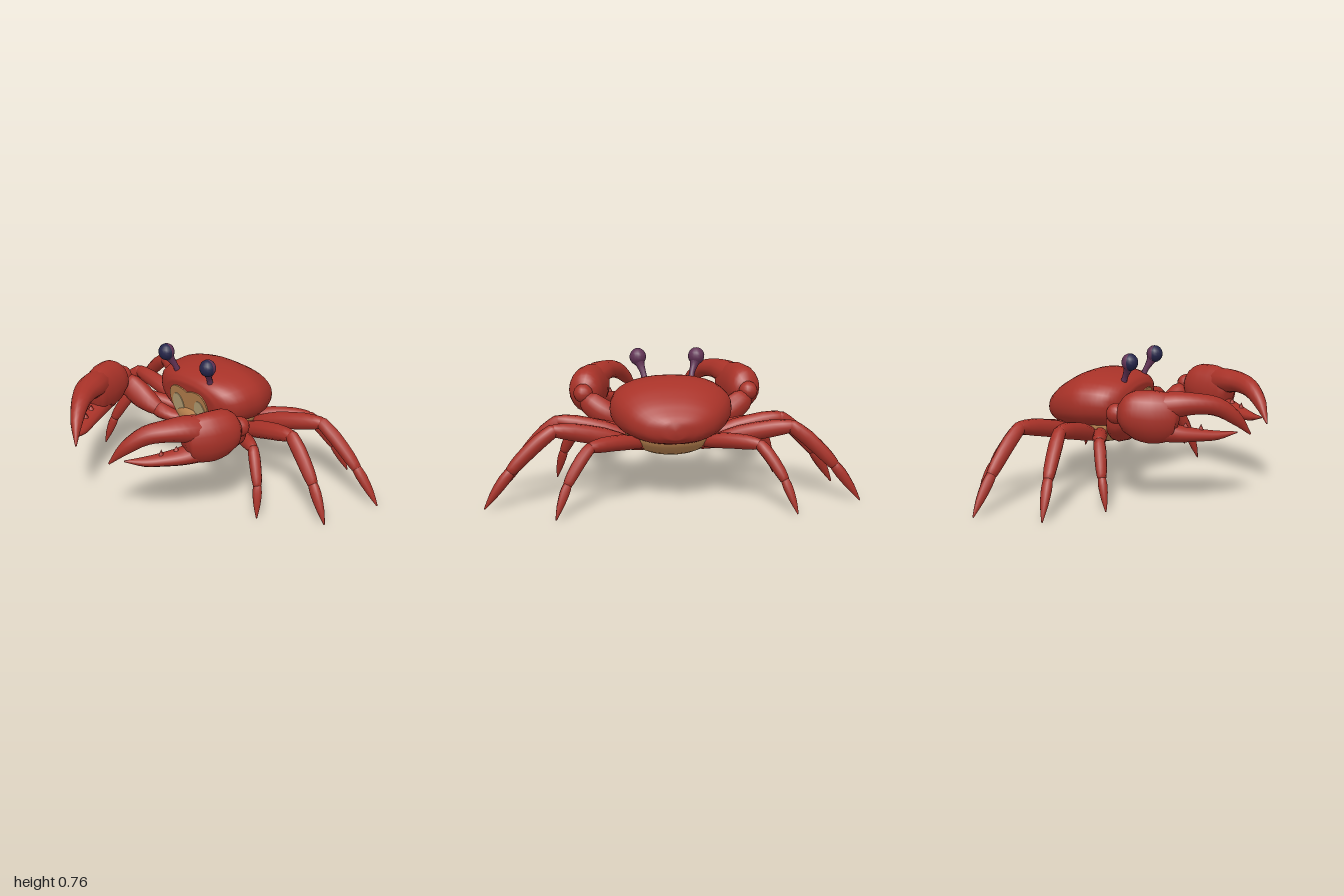
import * as THREE from 'three';

const material = (name, color, side = THREE.FrontSide) => {
  const m = new THREE.MeshStandardMaterial({ color, side });
  m.name = name;
  return m;
};

// Sweeps an oval along [x, y, z, halfWidth, halfHeight] stations and closes both ends.
function sweep(stations, { sides = 12, steps = 3, tangent = null, power = 2 } = {}) {
  const path = new THREE.CatmullRomCurve3(stations.map(s => new THREE.Vector3(s[0], s[1], s[2])));
  const size = new THREE.CatmullRomCurve3(stations.map(s => new THREE.Vector3(s[3], s[4], 0)));
  const n = (stations.length - 1) * steps;
  const up = new THREE.Vector3(0, 1, 0);
  const pos = [], index = [];
  const bend = v => Math.sign(v) * Math.pow(Math.abs(v), 2 / power);
  for (let i = 0; i <= n; i++) {
    const c = path.getPoint(i / n), r = size.getPoint(i / n);
    const t = tangent || path.getTangent(i / n);
    const w = new THREE.Vector3().crossVectors(t, up).normalize();
    const h = new THREE.Vector3().crossVectors(w, t).normalize();
    for (let j = 0; j < sides; j++) {
      const a = j / sides * Math.PI * 2;
      const p = c.clone().addScaledVector(w, bend(Math.cos(a)) * r.x).addScaledVector(h, bend(Math.sin(a)) * r.y);
      pos.push(p.x, p.y, p.z);
    }
  }
  const first = path.getPoint(0), last = path.getPoint(1), cap = (n + 1) * sides;
  pos.push(first.x, first.y, first.z, last.x, last.y, last.z);
  for (let j = 0; j < sides; j++) {
    const k = (j + 1) % sides;
    for (let i = 0; i < n; i++) {
      const a = i * sides + j, b = i * sides + k;
      index.push(a, a + sides, b, b, a + sides, b + sides);
    }
    index.push(cap, j, k, cap + 1, n * sides + k, n * sides + j);
  }
  const g = new THREE.BufferGeometry();
  g.setAttribute('position', new THREE.Float32BufferAttribute(pos, 3));
  g.setIndex(index);
  g.computeVertexNormals();
  return g;
}

export function createModel() {
  const red = material('shell red', 0xa83228);
  const tan = material('belly tan', 0xbc8450);
  const cream = material('mouth cream', 0xbba478);
  const navy = material('eye navy', 0x25254a);
  const purple = material('stalk purple', 0x623356);

  const crab = new THREE.Group();
  crab.name = 'crab';
  const add = (parent, name, geometry, mat) => {
    const mesh = new THREE.Mesh(geometry, mat);
    mesh.name = name;
    parent.add(mesh);
    return mesh;
  };

  // Carapace: z, half width, top, bottom, with its front leaning back toward the belly
  const shell = [
    [0, .19, .565, .35], [-.03, .25, .605, .34], [-.08, .297, .628, .33], [-.15, .322, .642, .325],
    [-.25, .33, .645, .315], [-.35, .3, .615, .315], [-.45, .235, .555, .33], [-.515, .15, .5, .35], [-.55, .05, .465, .38],
  ].map(([z, w, top, bottom]) => [0, (top + bottom) / 2, z, w, (top - bottom) / 2]);
  const carapace = sweep(shell, { sides: 32, steps: 3, tangent: new THREE.Vector3(0, 0, -1), power: 2.3 });
  const p = carapace.attributes.position;
  for (let i = 0; i < p.count; i++) {
    const fade = Math.max(0, 1 + p.getZ(i) / .2);
    p.setZ(i, p.getZ(i) + .22 * (p.getY(i) - .55) * fade);
  }
  carapace.computeVertexNormals();
  add(crab, 'carapace', carapace, red);

  // Belly
  const belly = add(crab, 'belly', new THREE.SphereGeometry(1, 24, 16), tan);
  belly.scale.set(.25, .13, .235);
  belly.position.set(0, .36, -.235);

  // Two-lobed face plate with pale mouth plates
  const face = new THREE.Group();
  face.name = 'face';
  face.position.set(0, .55, .003);
  face.rotation.x = .217;
  crab.add(face);
  const plate = shape => new THREE.ExtrudeGeometry(shape, { depth: .007, bevelEnabled: false, curveSegments: 10 });
  const outline = new THREE.Shape();
  outline.moveTo(-.11, -.21);
  outline.bezierCurveTo(-.17, -.15, -.16, -.01, -.08, -.01);
  outline.quadraticCurveTo(-.03, -.01, 0, -.03);
  outline.quadraticCurveTo(.03, -.01, .08, -.01);
  outline.bezierCurveTo(.16, -.01, .17, -.15, .11, -.21);
  add(face, 'facePlate', plate(outline), tan);
  for (const s of [-1, 1]) {
    const oval = new THREE.Shape().absellipse(s * .085, -.135, .042, .075, 0, Math.PI * 2);
    add(face, 'mouthPlate', plate(oval), cream).position.z = .004;
  }

  // Legs: base, knee, tip
  const legs = [
    [[.22, .31, -.15], [.49, .345, -.02], [.625, .01, .085]],
    [[.23, .31, -.2], [.61, .405, -.19], [.92, .01, -.125]],
    [[.23, .31, -.32], [.63, .41, -.42], [.995, .01, -.485]],
    [[.17, .32, -.36], [.44, .345, -.54], [.62, .01, -.695]],
  ];

  for (const s of [-1, 1]) {
    const side = s > 0 ? 'left' : 'right';
    const group = name => {
      const g = new THREE.Group();
      g.name = side + name;
      crab.add(g);
      return g;
    };
    const limb = (parent, name, stations, options) =>
      add(parent, name, sweep(stations.map(([x, ...rest]) => [s * x, ...rest]), options), red);

    legs.forEach(([b, k, t], i) => {
      const leg = group('Leg' + (i + 1));
      const base = new THREE.Vector3(...b), knee = new THREE.Vector3(...k), tip = new THREE.Vector3(...t);
      const ankle = knee.clone().lerp(tip, .58);
      ankle.y += .025;
      ankle.x += .015;
      const size = i === 0 || i === 3 ? .85 : 1;
      const segment = (name, from, to, lift, profile) => limb(leg, name, profile.map(([f, r]) => {
        const q = from.clone().lerp(to, f);
        return [q.x, q.y + lift * Math.sin(f * Math.PI), q.z, r * size * .95, r * size];
      }), { sides: 10, steps: 2 });
      segment('hip', new THREE.Vector3(b[0] * .45, .3, b[2] * .6 - .09), base, 0, [[0, .03], [.5, .042], [1.1, .036]]);
      segment('thigh', base, knee, .012, [[0, .036], [.35, .05], [.75, .047], [1, .034], [1.04, .012]]);
      segment('shin', knee, ankle, .015, [[-.1, .015], [0, .036], [.35, .041], [.8, .037], [1, .029], [1.03, .012]]);
      segment('foot', ankle, tip, .006, [[-.06, .012], [0, .027], [.25, .031], [.65, .022], [1, .004]]);
    });

    // Claw arm and wrist
    const claw = group('Claw');
    limb(claw, 'armBase', [[.07, .315, -.07, .03, .025], [.14, .325, -.02, .045, .035], [.22, .34, .005, .045, .045], [.27, .355, .015, .02, .02]]);
    limb(claw, 'arm', [[.2, .335, .0, .03, .03], [.27, .36, .015, .055, .055], [.36, .4, .03, .065, .075],
      [.43, .45, .05, .055, .068], [.47, .49, .065, .025, .03]]);
    const wrist = add(claw, 'wrist', new THREE.SphereGeometry(.054, 14, 10), red);
    wrist.position.set(s * .47, .5, .07);

    // Pincer
    limb(claw, 'palm', [[.475, .5, .08, .035, .04], [.465, .5, .115, .082, .095], [.452, .5, .17, .098, .128],
      [.43, .49, .25, .098, .14], [.4, .488, .32, .086, .132], [.375, .485, .365, .07, .105], [.367, .48, .385, .04, .06]], { sides: 18 });
    limb(claw, 'upperFinger', [[.42, .535, .27, .07, .08], [.375, .555, .37, .077, .07], [.33, .558, .46, .065, .057],
      [.265, .54, .55, .05, .05], [.2, .475, .63, .033, .037], [.135, .38, .692, .004, .005]]);
    limb(claw, 'lowerFinger', [[.41, .42, .28, .07, .065], [.365, .4, .38, .062, .046], [.31, .39, .47, .047, .034],
      [.255, .385, .55, .032, .025], [.195, .398, .64, .004, .004]]);
    for (const [x, y, z, h] of [[.305, .43, .48, .04], [.345, .445, .41, .03]])
      add(claw, 'tooth', new THREE.ConeGeometry(.018, h, 8), red).position.set(s * x, y, z);

    // Eye: stalk flares into a bulb, dark in front
    const eye = group('Eye');
    add(eye, 'eyeStalk', sweep([[s * .128, .59, -.055, .018, .018], [s * .135, .63, -.04, .016, .016],
      [s * .148, .67, -.02, .022, .022], [s * .16, .705, -.005, .036, .036]], { sides: 10 }), purple);
    for (const [name, start, mat] of [['eyeFront', 0, navy], ['eyeBack', Math.PI, purple]]) {
      const half = add(eye, name, new THREE.SphereGeometry(.046, 8, 9, start, Math.PI), mat);
      half.position.set(s * .163, .718, .002);
      half.scale.y = 1.05;
    }
  }
  return crab;
}
